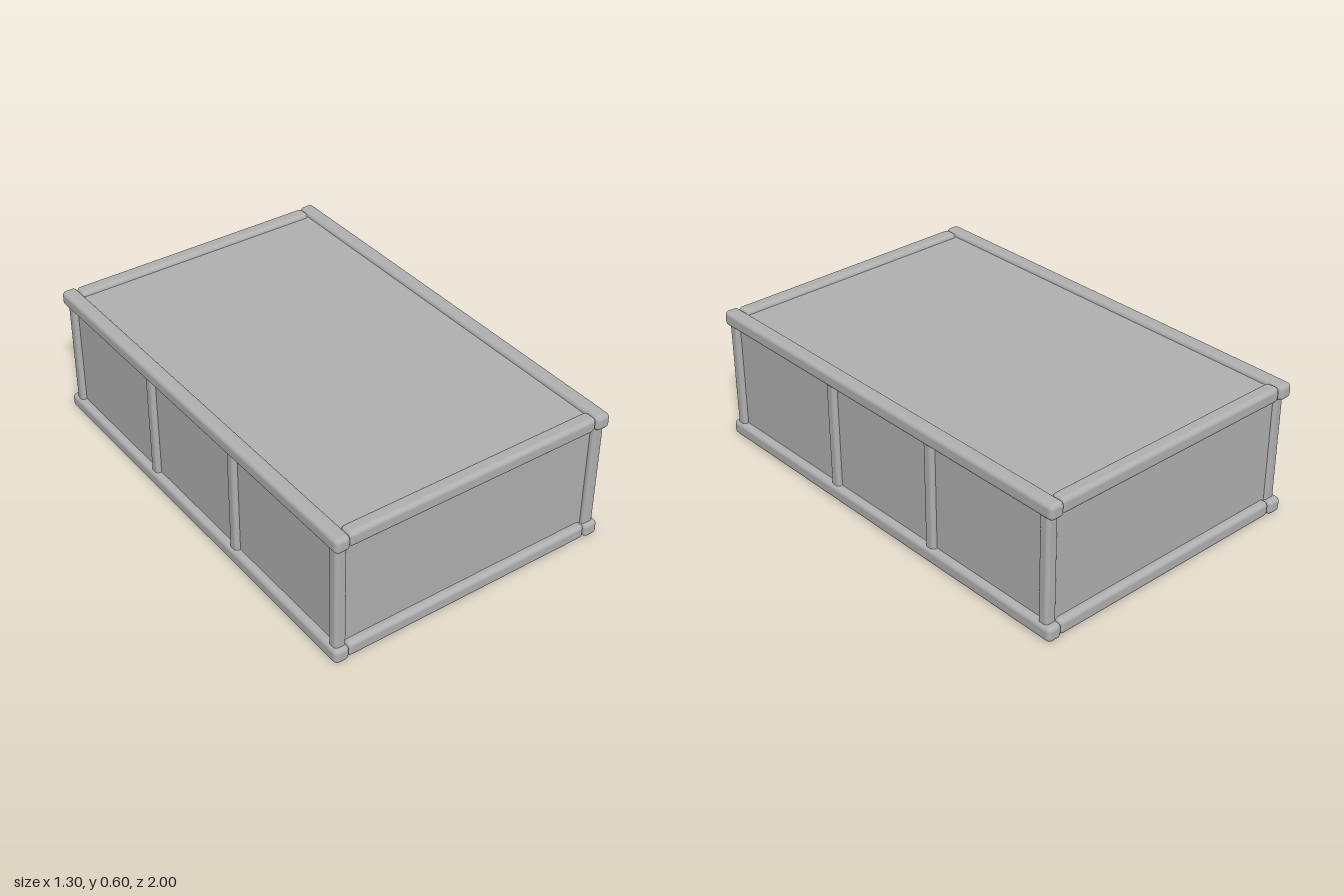
import * as THREE from 'three';
import { RoundedBoxGeometry } from 'three/addons/geometries/RoundedBoxGeometry.js';

export function createModel() {
  const model = new THREE.Group();
  const grey = new THREE.MeshStandardMaterial({ color: 0xb0b0b0 });
  grey.name = 'grey';

  const add = (name, geometry, x, y, z) => {
    const mesh = new THREE.Mesh(geometry, grey);
    mesh.name = name;
    mesh.position.set(x, y, z);
    model.add(mesh);
  };

  // Closed panel body, set slightly behind the frame
  add('panelBody', new THREE.BoxGeometry(1.236, 0.565, 1.92), 0, 0.3025, 0);

  // Rounded bars of the frame
  const sideRail = new RoundedBoxGeometry(0.067, 0.067, 2, 4, 0.02);
  const crossRail = new RoundedBoxGeometry(1.172, 0.067, 0.067, 4, 0.02);
  const post = new RoundedBoxGeometry(0.052, 0.53, 0.05, 4, 0.016);

  for (const y of [0.0365, 0.5715]) {
    const level = y < 0.3 ? 'lower' : 'upper';
    for (const s of [-1, 1]) {
      add(level + 'SideRail', sideRail, s * 0.617, y, 0);
      add(level + 'CrossRail', crossRail, 0, y, s * 0.959);
    }
  }

  // Four uprights on each long side
  for (const s of [-1, 1]) {
    for (const z of [0.957, 0.289, -0.31, -0.947]) {
      add('post', post, s * 0.613, 0.304, z);
    }
  }
  return model;
}
